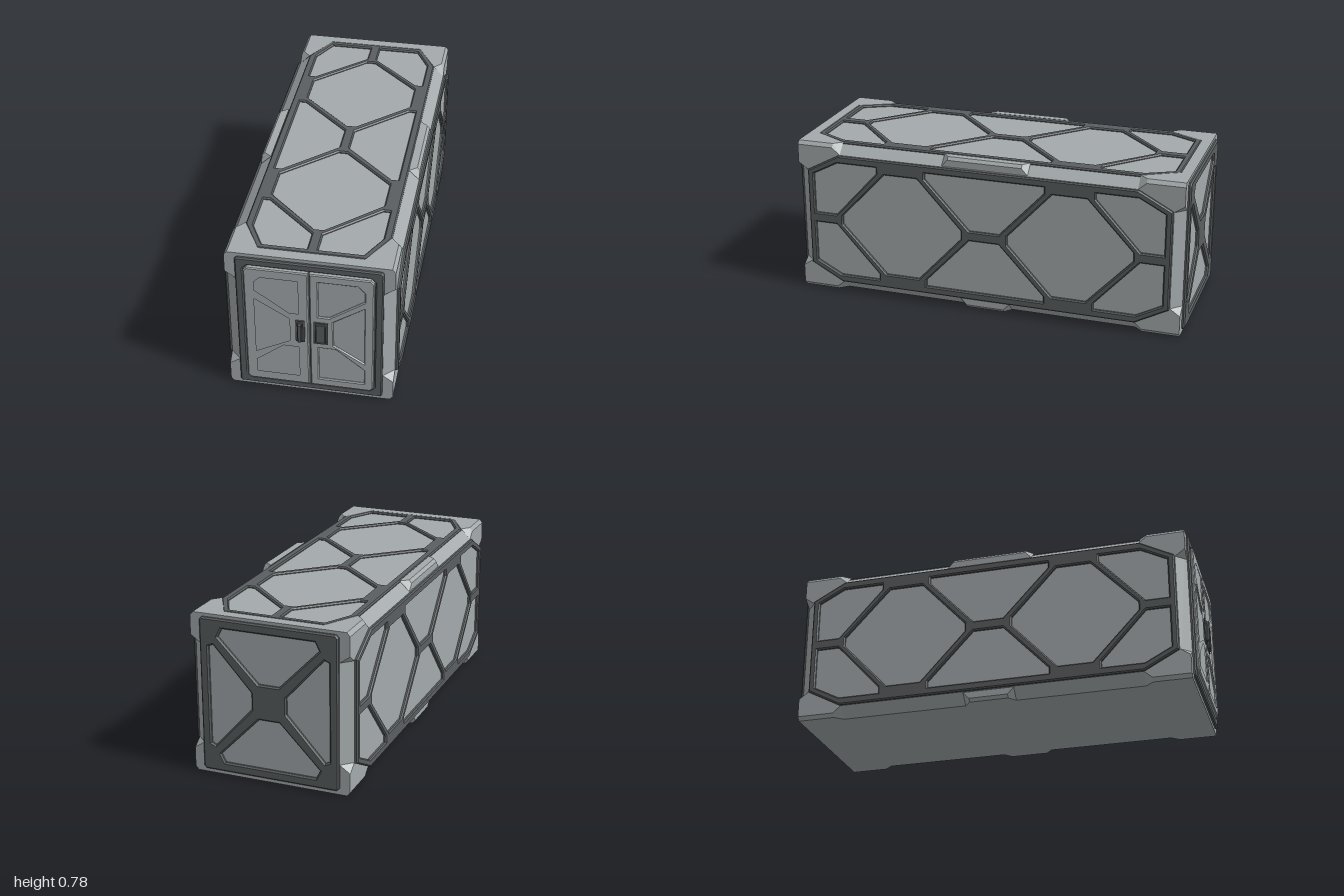
import * as THREE from 'three';
import { ConvexGeometry } from 'three/addons/geometries/ConvexGeometry.js';

const W = 0.385, H = 0.775, CZ = -0.0175, L = 0.9675; // half width, height, middle and half length
const SIGNS = [-1, 1];

const toPoints = (list) => list.map(([x, y]) => new THREE.Vector2(x, y));

// Flat plate with bevelled rim and bevelled holes, rising from z = 0 to z = depth
function plate(outline, holes, depth, bevel) {
  const shape = new THREE.Shape(toPoints(outline));
  holes.forEach((h) => shape.holes.push(new THREE.Path(toPoints(h))));
  return new THREE.ExtrudeGeometry(shape, {
    depth: depth - bevel, bevelEnabled: true, bevelSegments: 1,
    bevelSize: bevel, bevelThickness: bevel, bevelOffset: -bevel,
  });
}

// Rectangle with cut corners
function cutRect(x0, x1, y0, y1, c, d = c) {
  return [[x0 + c, y0], [x1 - c, y0], [x1, y0 + d], [x1, y1 - d],
    [x1 - c, y1], [x0 + c, y1], [x0, y1 - d], [x0, y0 + d]];
}

const hull = (list) => new ConvexGeometry(list.map((p) => new THREE.Vector3(...p)));
const flip = (list, sx, sy) => list.map(([x, y]) => [x * sx, y * sy]);

// Long lattice of struts shared by the sides and the roof
function latticeGeometry(depth) {
  const hex = [[0.117, -0.022], [0.34, -0.263], [0.51, -0.263], [0.737, -0.022],
    [0.737, 0.022], [0.51, 0.263], [0.34, 0.263], [0.117, 0.022]];
  const middle = [[-0.075, 0.025], [0.075, 0.025], [0.3, 0.265], [0.3, 0.297], [-0.3, 0.297], [-0.3, 0.265]];
  const corner = [[0.883, 0.025], [0.883, 0.23], [0.755, 0.297], [0.55, 0.297], [0.55, 0.265], [0.77, 0.025]];
  const holes = [];
  for (const s of SIGNS) {
    holes.push(flip(hex, s, 1), flip(middle, 1, s));
    for (const t of SIGNS) holes.push(flip(corner, s, t));
  }
  return plate(cutRect(-0.915, 0.915, -0.335, 0.335, 0.165, 0.088), holes, depth, 0.006);
}

export function createModel() {
  const light = new THREE.MeshStandardMaterial({ color: 0xa4aaac });
  light.name = 'light grey';
  const dark = new THREE.MeshStandardMaterial({ color: 0x5a5e60 });
  dark.name = 'dark grey';

  const model = new THREE.Group();
  model.name = 'container';
  const add = (name, geometry, material, x = 0, y = 0, z = 0) => {
    const mesh = new THREE.Mesh(geometry, material);
    mesh.name = name;
    mesh.position.set(x, y, z);
    model.add(mesh);
    return mesh;
  };
  const box = (name, material, x0, x1, y0, y1, z0, z1) => add(name,
    new THREE.BoxGeometry(x1 - x0, y1 - y0, z1 - z0), material,
    (x0 + x1) / 2, (y0 + y1) / 2, (z0 + z1) / 2);

  // Body with chamfered long and upright edges
  const body = [];
  for (const sx of SIGNS) for (const sz of SIGNS) {
    for (const y of [0, 0.766]) body.push([sx * 0.335, y, CZ + sz * L]);
    for (const y of [0.052, 0.723]) body.push([sx * W, y, CZ + sz * (L - 0.05)]);
  }
  add('body', hull(body), light);

  // Corner blocks and middle tabs that fill the chamfers
  for (const sx of SIGNS) for (const top of [true, false]) {
    const p = (x, d, z) => [sx * x, top ? H - d : d, CZ + z];
    for (const sz of SIGNS) {
      add('cornerBlock', hull([
        p(W, 0.052, sz * 0.745), p(0.335, 0, sz * 0.745),
        p(W, 0.018, sz * 0.785), p(0.37, 0, sz * 0.785),
        p(W, 0.145, sz * (L - 0.05)), p(0.335, 0.145, sz * L), p(W, 0.11, sz * L),
        p(W, 0.018, sz * L), p(0.37, 0, sz * L),
        p(0.24, 0, sz * 0.915), p(0.24, 0, sz * L),
      ]), light);
    }
    const half = top ? 0.215 : 0.125;
    const tab = [];
    for (const s of SIGNS) {
      tab.push(p(W, 0.048, s * half), p(0.335, 0, s * half),
        p(W, 0.015, s * (half - 0.03)), p(0.372, 0, s * (half - 0.03)));
    }
    add('edgeTab', hull(tab), light);
  }

  // Roof end bars
  for (const s of SIGNS) {
    const a = CZ + s * L, b = CZ + s * 0.915;
    box('roofEndBar', light, -0.34, 0.34, 0.74, H, Math.min(a, b), Math.max(a, b));
  }

  // Side and roof lattices
  const side = latticeGeometry(0.015).rotateY(Math.PI / 2);
  add('leftLattice', side, dark, W, 0.3875, CZ);
  add('rightLattice', side, dark, -W, 0.3875, CZ).rotation.y = Math.PI;
  add('roofLattice', latticeGeometry(0.01).rotateX(-Math.PI / 2).rotateY(Math.PI / 2), dark, 0, 0.766, CZ);

  // Rear frame with crossed struts
  const topHole = [[0.05, 0.085], [0.245, 0.285], [0.225, 0.325], [-0.225, 0.325], [-0.245, 0.285], [-0.05, 0.085]];
  const sideHole = [[0.085, 0.04], [0.27, 0.245], [0.292, 0.235], [0.292, -0.235], [0.27, -0.245], [0.085, -0.04]];
  const rearHoles = SIGNS.flatMap((s) => [flip(topHole, 1, s), flip(sideHole, s, 1)]);
  add('rearFrame', plate(cutRect(-0.335, 0.335, -0.37, 0.37, 0.012), rearHoles, 0.015, 0.007),
    dark, 0, 0.39, CZ - L).rotation.y = Math.PI;

  // Front door frame and dark backing behind the door gap
  const front = CZ + L;
  add('doorFrame', plate(cutRect(-0.335, 0.335, 0.02, 0.758, 0.01),
    [cutRect(-0.298, 0.298, 0.057, 0.72, 0.02)], 0.014, 0.006), dark, 0, 0, front);
  box('doorBacking', dark, -0.3, 0.3, 0.055, 0.722, front - 0.01, front + 0.004);

  // Two doors with three sunken panels each
  for (const s of SIGNS) {
    const inner = s > 0 ? 0.111 : 0.084;
    const slope = s > 0 ? 0.452 : 0.45;
    const panels = [
      [[0.253, 0.642], [0.222, 0.674], [0.043, 0.674], [0.043, 0.477], [0.092, 0.477], [0.253, 0.592]],
      [[0.253, 0.55], [inner, slope], [inner, 0.315], [0.253, 0.225]],
      [[0.253, 0.182], [0.122, 0.289], [0.043, 0.289], [0.043, 0.103], [0.253, 0.103]],
    ].map((h) => flip(h, s, 1));
    const outline = [[0.003, 0.06], [0.28, 0.06], [0.295, 0.075], [0.295, 0.702], [0.28, 0.717], [0.003, 0.717]];
    add(s > 0 ? 'leftDoor' : 'rightDoor', plate(flip(outline, s, 1), panels, 0.025, 0.005), light, 0, 0, front);
    box('doorPanelFloor', light, ...(s > 0 ? [0.012, 0.28] : [-0.28, -0.012]), 0.08, 0.7, front, front + 0.017);
  }

  // Door handle and lock: base plate, raised rim and inset bar
  const latch = (name, x0, x1, rim, reach) => {
    const z = front + 0.024;
    box(name + 'Base', dark, x0, x1, 0.322, 0.446, z, z + 0.006);
    add(name + 'Rim', plate(cutRect(x0 + 0.008, x1 - 0.008, 0.328, 0.44, 0.003),
      [cutRect(x0 + 0.008 + rim, x1 - 0.008 - rim, 0.328 + rim, 0.44 - rim, 0.002)], 0.015, 0.002), dark, 0, 0, z);
    box(name + 'Bar', dark, x0 + 0.014, x1 - 0.014, 0.335, 0.433, z, z + reach);
  };
  latch('handle', -0.062, -0.02, 0.005, 0.026);
  latch('lock', 0.021, 0.087, 0.006, 0.012);

  return model;
}
